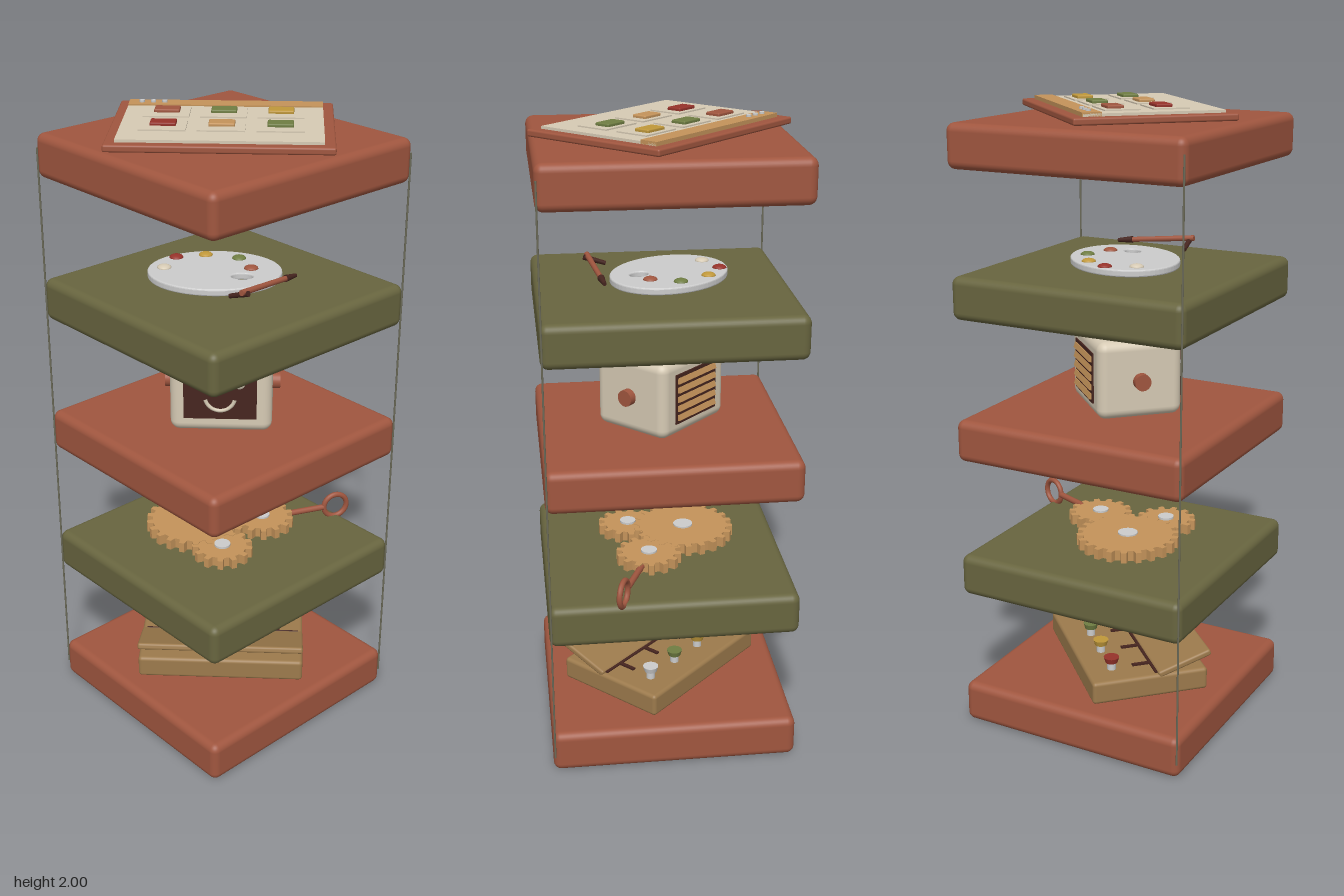
import * as THREE from 'three';
import { RoundedBoxGeometry } from 'three/addons/geometries/RoundedBoxGeometry.js';

const C = {
  terracotta: 0xa0563f, olive: 0x68653f, cream: 0xd6cab4, tan: 0xc4935a, wood: 0x9c7a4c,
  dark: 0x46251f, green: 0x6f7d42, gold: 0xc0983a, red: 0x96322a, grey: 0xcccccc, wire: 0x6b6a58,
};
const mats = {};
const mat = (c) => (mats[c] ??= new THREE.MeshStandardMaterial({ color: C[c] }));

function add(parent, name, geo, color, x = 0, y = 0, z = 0) {
  const m = new THREE.Mesh(geo, mat(color));
  m.name = name;
  m.position.set(x, y, z);
  parent.add(m);
  return m;
}
function section(parent, name, y) {
  const g = new THREE.Group();
  g.name = name;
  g.position.y = y;
  parent.add(g);
  return g;
}
const box = (w, h, d) => new THREE.BoxGeometry(w, h, d);
const rbox = (w, h, d, r) => new RoundedBoxGeometry(w, h, d, 4, r);
const cyl = (rTop, rBottom, h, n = 24) => new THREE.CylinderGeometry(rTop, rBottom, h, n);

// Straight round bar between two points
function rod(parent, name, a, b, rA, rB, color) {
  const A = new THREE.Vector3(...a), B = new THREE.Vector3(...b);
  const dir = B.clone().sub(A);
  const m = add(parent, name, cyl(rB, rA, dir.length(), 12), color);
  m.position.copy(A).add(B).multiplyScalar(0.5);
  m.quaternion.setFromUnitVectors(new THREE.Vector3(0, 1, 0), dir.normalize());
  return m;
}

// Toothed wheel lying flat, its base at y = 0
function gearGeometry(r, teeth, h) {
  const shape = new THREE.Shape();
  const root = r - 0.02, step = (Math.PI * 2) / teeth;
  for (let i = 0; i < teeth; i++) {
    [[0, root], [0.42, root], [0.52, r], [0.88, r]].forEach(([f, rad], k) => {
      const a = (i + f) * step;
      shape[i + k === 0 ? 'moveTo' : 'lineTo'](Math.cos(a) * rad, Math.sin(a) * rad);
    });
  }
  shape.closePath();
  const geo = new THREE.ExtrudeGeometry(shape, { depth: h, bevelEnabled: false });
  return geo.rotateX(-Math.PI / 2);
}

// Control box with a raised sloping lid and a row of knobs
function buildControlBox(g) {
  add(g, 'controlBoxBase', rbox(0.55, 0.075, 0.385, 0.012), 'wood', 0, 0.0415, 0.003);
  const lid = add(g, 'controlBoxLid', rbox(0.55, 0.022, 0.185, 0.008), 'wood', 0, 0.105, 0.118);
  lid.rotation.x = -0.32;
  rod(g, 'lidHinge', [-0.26, 0.081, 0.025], [0.26, 0.081, 0.025], 0.005, 0.005, 'dark');
  [-0.19, -0.063, 0.063, 0.19].forEach((x, i) => {
    add(g, 'knobStem', cyl(0.014, 0.014, 0.028), 'grey', x, 0.092, -0.105);
    add(g, 'knobCap', cyl(0.025, 0.02, 0.018), ['red', 'gold', 'green', 'grey'][i], x, 0.113, -0.105);
    add(g, 'slot', box(0.012, 0.008, 0.06), 'dark', x, 0.081, -0.005);
  });
}

// Three meshing gears and a winding key
function buildGears(g) {
  [['largeGear', -0.09, -0.02, 0.165, 22, 0.032],
    ['mediumGear', 0.128, -0.05, 0.105, 14, 0.026],
    ['smallGear', 0.005, 0.14, 0.098, 13, 0.026]].forEach(([name, x, z, r, n, hub], i) => {
    add(g, name, gearGeometry(r, n, 0.034 - i * 0.001), 'tan', x, 0.016, z);
    add(g, name + 'Hub', cyl(hub, hub, 0.055), 'grey', x, 0.0275, z);
  });
  rod(g, 'keyShaft', [0.2, 0.036, -0.08], [0.335, 0.036, -0.134], 0.01, 0.01, 'terracotta');
  const ring = add(g, 'keyRing', new THREE.TorusGeometry(0.041, 0.009, 10, 32), 'terracotta', 0.376, 0.036, -0.15);
  ring.rotation.y = 0.38;
}

// Robot head with a smiling screen
function buildRobot(g) {
  add(g, 'robotHead', rbox(0.315, 0.245, 0.27, 0.03), 'cream', 0, 0.1285, 0.002);
  add(g, 'faceScreen', box(0.225, 0.168, 0.012), 'dark', -0.002, 0.14, 0.138);
  for (const s of [-1, 1]) {
    const eye = add(g, 'eye', new THREE.SphereGeometry(0.019, 20, 12), 'cream', s * 0.057, 0.177, 0.143);
    eye.scale.z = 0.45;
    const ear = add(g, 'ear', cyl(0.026, 0.026, 0.026), 'terracotta', s * 0.168, 0.125, 0.002);
    ear.rotation.z = Math.PI / 2;
  }
  const smile = add(g, 'smile', new THREE.TorusGeometry(0.046, 0.006, 8, 24, Math.PI * 0.9), 'cream', -0.002, 0.131, 0.145);
  smile.rotation.z = Math.PI * 1.05;
  rod(g, 'antenna', [0.07, 0.24, -0.025], [0.07, 0.325, -0.025], 0.006, 0.006, 'grey');
  // Rear vent
  add(g, 'ventPanel', box(0.2, 0.16, 0.008), 'dark', 0, 0.128, -0.134);
  for (let i = 0; i < 5; i++) {
    const slat = add(g, 'ventSlat', box(0.185, 0.018, 0.01), 'tan', 0, 0.068 + i * 0.03, -0.139);
    slat.rotation.x = 0.3;
  }
}

// Paint palette and brushes
function buildPalette(g) {
  const shape = new THREE.Shape().absellipse(-0.025, -0.01, 0.2, 0.16, 0, Math.PI * 2);
  shape.holes.push(new THREE.Path().absellipse(0.06, 0.04, 0.038, 0.03, 0, Math.PI * 2, true));
  const geo = new THREE.ExtrudeGeometry(shape, {
    depth: 0.012, bevelThickness: 0.005, bevelSize: 0.005, bevelSegments: 3, curveSegments: 32,
  }).rotateX(Math.PI / 2);
  add(g, 'palette', geo, 'grey', 0, 0.029, 0);
  [['cream', -0.18, -0.02], ['red', -0.15, -0.11], ['gold', -0.06, -0.135],
    ['green', 0.045, -0.11], ['terracotta', 0.085, -0.025]].forEach(([c, x, z]) => {
    const dab = add(g, 'paintDab', new THREE.SphereGeometry(0.022, 20, 10), c, x, 0.034, z);
    dab.scale.y = 0.45;
  });
  rod(g, 'brushHandle', [0.065, 0.062, 0.245], [0.19, 0.044, 0.08], 0.009, 0.008, 'terracotta');
  rod(g, 'brushTip', [0.19, 0.044, 0.08], [0.22, 0.039, 0.04], 0.011, 0.006, 'dark');
  rod(g, 'secondBrush', [0.085, 0.058, 0.24], [0.03, 0.034, 0.2], 0.009, 0.007, 'dark');
}

// Framed window with a header bar and six cards
function buildWindow(g) {
  add(g, 'windowFrame', rbox(0.643, 0.021, 0.485, 0.006), 'terracotta', 0, 0.0235, -0.003);
  add(g, 'windowPage', box(0.58, 0.012, 0.42), 'cream', 0, 0.036, 0);
  add(g, 'windowHeader', box(0.58, 0.012, 0.057), 'tan', 0, 0.04, -0.184);
  for (let i = 0; i < 3; i++) {
    add(g, 'headerDot', cyl(0.008, 0.008, 0.008, 16), 'grey', -0.251 + i * 0.034, 0.048, -0.184);
  }
  ['terracotta', 'green', 'gold', 'red', 'tan', 'green'].forEach((c, i) => {
    const x = ((i % 3) - 1) * 0.167, z = -0.078 + Math.floor(i / 3) * 0.145;
    add(g, 'card', box(0.135, 0.008, 0.107), 'cream', x, 0.042, z);
    add(g, 'cardChip', rbox(0.075, 0.012, 0.049, 0.004), c, x, 0.049, z - 0.012);
  });
}

export function createModel() {
  const model = new THREE.Group();
  model.name = 'layeredTower';
  const builders = [['controlBox', buildControlBox], ['gearTrain', buildGears], ['robot', buildRobot],
    ['paintSet', buildPalette], ['window', buildWindow]];

  // Five square slabs turned on their corners, each carrying one exhibit
  builders.forEach(([name, build], i) => {
    const y = i * 0.4525;
    const slab = add(model, 'slab', rbox(0.78, 0.135, 0.78, 0.025), i % 2 ? 'olive' : 'terracotta', 0, y + 0.0675, 0);
    slab.rotation.y = Math.PI / 4;
    build(section(model, name, y + 0.135));
  });

  // Side wires
  for (const s of [-1, 1]) {
    rod(model, 'sideWire', [s * 0.544, 0.05, 0], [s * 0.544, 1.9, 0], 0.003, 0.003, 'wire');
  }
  return model;
}
